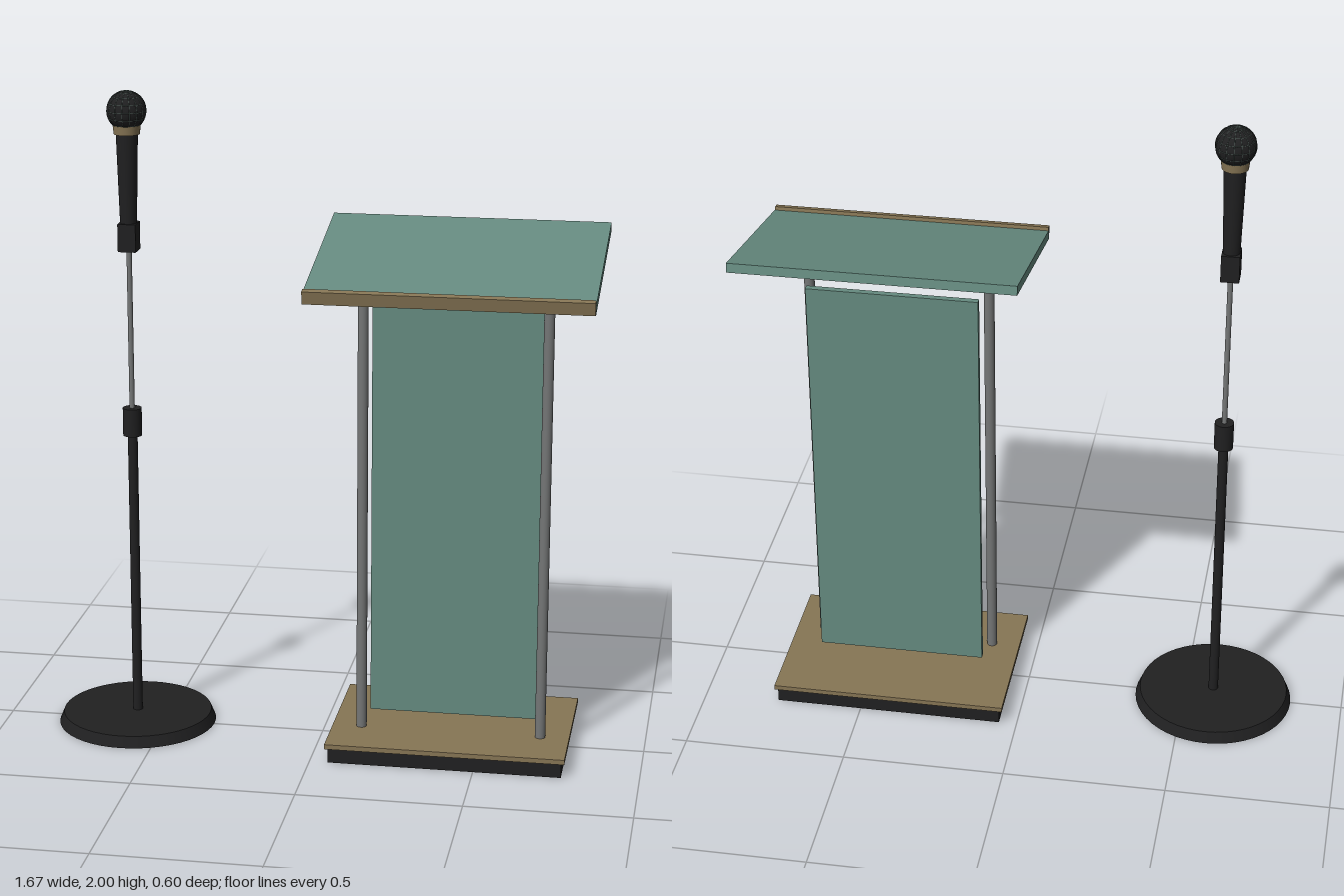
import * as THREE from 'three';

const mat = (name, color) => {
  const m = new THREE.MeshStandardMaterial({ color });
  m.name = name;
  return m;
};

export function createModel() {
  const black = mat('black', 0x202021);
  const green = mat('greenGlass', 0x668b80);
  const tan = mat('bronze', 0x877655);
  const steel = mat('steel', 0x747676);
  const wire = mat('meshWire', 0x53635d);

  const root = new THREE.Group();
  root.name = 'lecternAndMicrophone';
  const group = (name, x, y, z) => {
    const g = new THREE.Group();
    g.name = name;
    g.position.set(x, y, z);
    root.add(g);
    return g;
  };
  const add = (parent, name, geo, m, x = 0, y = 0, z = 0) => {
    const mesh = new THREE.Mesh(geo, m);
    mesh.name = name;
    mesh.position.set(x, y, z);
    parent.add(mesh);
    return mesh;
  };
  const box = (p, name, w, h, d, m, x, y, z) =>
    add(p, name, new THREE.BoxGeometry(w, h, d), m, x, y, z);
  // upright cylinder from y0 to y1
  const rod = (p, name, rBottom, rTop, y0, y1, m, x = 0, z = 0, sides = 32) =>
    add(p, name, new THREE.CylinderGeometry(rTop, rBottom, y1 - y0, sides), m, x, (y0 + y1) / 2, z);

  // Lectern: plinth, posts and front panel
  const lectern = group('lectern', 0.411, 0, 0);
  box(lectern, 'plinth', 0.71, 0.045, 0.495, black, 0, 0.0225, -0.002);
  box(lectern, 'plinthTop', 0.73, 0.015, 0.507, tan, 0, 0.0525, -0.002);
  for (const side of [-1, 1]) {
    const x = side * 0.276;
    rod(lectern, 'post', 0.016, 0.016, 0.06, 1.467, steel, x, 0.081);
    rod(lectern, 'postCap', 0.029, 0.029, 1.466, 1.487, tan, x, 0.081);
  }
  box(lectern, 'panel', 0.524, 1.3, 0.02, green, 0, 1.73 - 1, -0.02);

  // Sloping reading board with a lip at its low edge
  const desk = group('readingDesk', 0.411, 1.517, 0);
  desk.rotation.x = 0.203;
  box(desk, 'board', 0.85, 0.028, 0.592, green, 0, 0, -0.004);
  box(desk, 'lip', 0.848, 0.0395, 0.022, tan, 0, 0.0053, 0.289);

  // Microphone stand
  const stand = group('microphoneStand', -0.593, 0, -0.004);
  rod(stand, 'foot', 0.246, 0.232, 0, 0.034, black, 0, 0, 48);
  rod(stand, 'lowerPole', 0.015, 0.015, 0.03, 0.94, black);
  rod(stand, 'clutch', 0.029, 0.029, 0.935, 1.022, black);
  rod(stand, 'upperPole', 0.008, 0.008, 1.02, 1.53, steel);
  box(stand, 'clip', 0.055, 0.085, 0.062, black, 0, 1.5575, 0);

  // Microphone
  rod(stand, 'handle', 0.024, 0.033, 1.55, 1.873, black);
  rod(stand, 'collar', 0.039, 0.042, 1.87, 1.898, tan);
  const head = group('microphoneHead', -0.593, 1.94, -0.004);
  const R = 0.0595;
  add(head, 'grille', new THREE.SphereGeometry(R, 32, 24), black);
  const ring = (r) => new THREE.TorusGeometry(r, 0.0009, 4, 40);
  for (let i = 0; i < 8; i++) {
    add(head, 'grilleMeridian', ring(R), wire).rotation.y = (i * Math.PI) / 8;
  }
  for (let i = 1; i < 8; i++) {
    const a = (i * Math.PI) / 8;
    add(head, 'grilleParallel', ring(R * Math.sin(a)), wire, 0, R * Math.cos(a), 0).rotation.x = Math.PI / 2;
  }
  return root;
}
